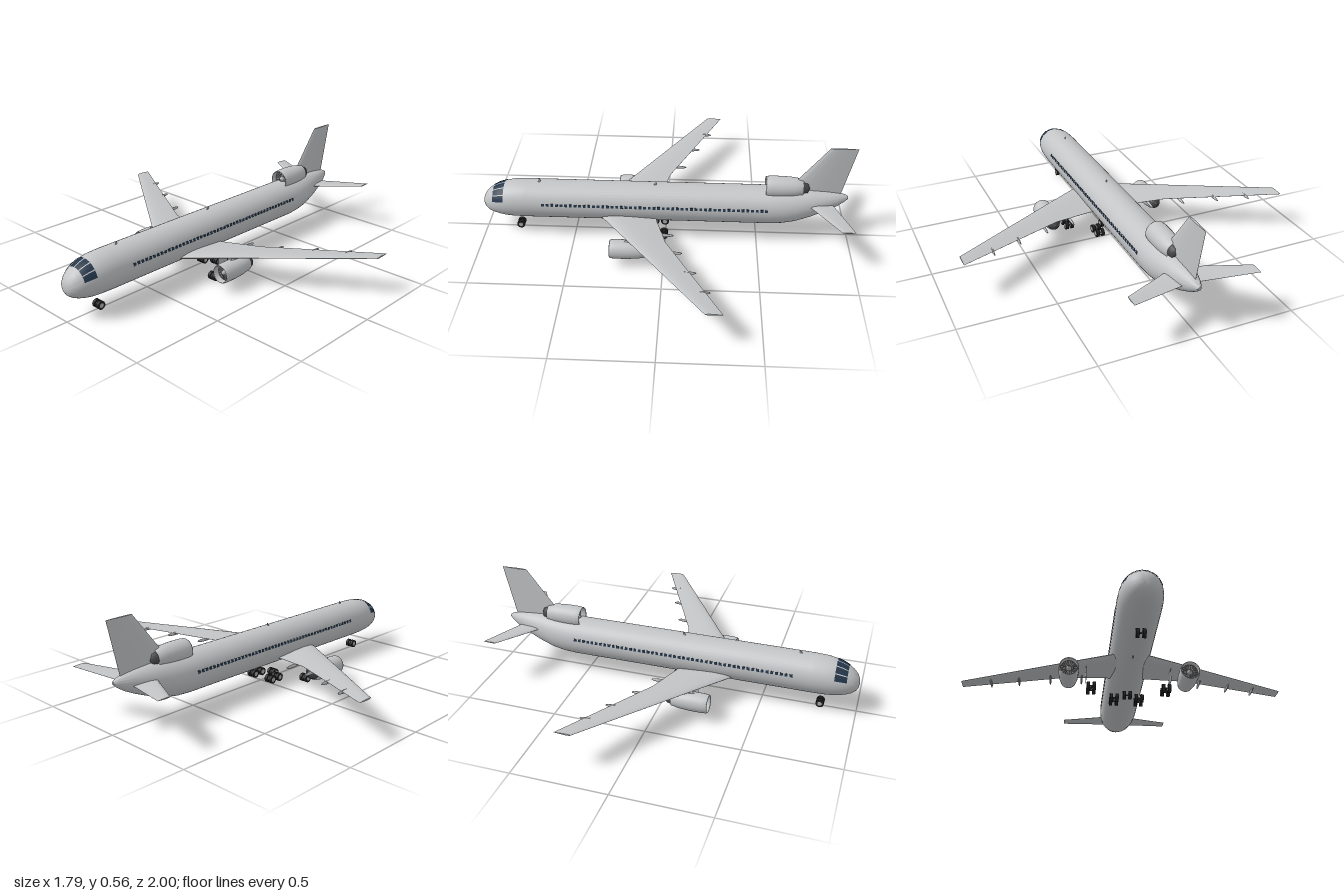
import * as THREE from 'three';
import { toCreasedNormals } from 'three/addons/utils/BufferGeometryUtils.js';

const mat = (name, color, side = THREE.FrontSide) => {
  const m = new THREE.MeshStandardMaterial({ color, side });
  m.name = name;
  return m;
};
const V = (x, y, z) => new THREE.Vector3(x, y, z);

// Skin closed rings of equal point count, cap both ends, face outward
function loft(rings, crease) {
  const n = rings[0].length, pos = [], tri = [];
  rings.forEach(r => r.forEach(p => pos.push(p.x, p.y, p.z)));
  for (let i = 0; i < rings.length - 1; i++) {
    for (let j = 0; j < n; j++) {
      const a = i * n + j, b = i * n + (j + 1) % n;
      tri.push([a, b, a + n], [b, b + n, a + n]);
    }
  }
  const last = (rings.length - 1) * n;
  for (let j = 1; j < n - 1; j++) tri.push([0, j + 1, j], [last, last + j, last + j + 1]);
  const at = i => V(pos[3 * i], pos[3 * i + 1], pos[3 * i + 2]);
  const volume = tri.reduce((s, [a, b, c]) => s + at(a).dot(at(b).cross(at(c))), 0);
  if (volume < 0) tri.forEach(t => t.reverse());
  const g = new THREE.BufferGeometry();
  g.setAttribute('position', new THREE.Float32BufferAttribute(pos, 3));
  g.setIndex(tri.flat());
  g.computeVertexNormals();
  return toCreasedNormals(g, crease);
}

// Airfoil outline: [distance along chord, half thickness factor]
const half = [[0.03, 0.4], [0.12, 0.8], [0.3, 1], [0.55, 0.8], [0.8, 0.4]];
const foil = [[0, 0], ...half, [1, 0.04], [1, -0.04], ...half.map(([c, t]) => [c, -t]).reverse()];

// Fuselage stations: z, bottom, top, half width
const stations = [
  [1, 0.168, 0.182, 0.008], [0.995, 0.148, 0.204, 0.028], [0.985, 0.133, 0.222, 0.045],
  [0.965, 0.118, 0.244, 0.063], [0.94, 0.108, 0.262, 0.077], [0.91, 0.1, 0.277, 0.088],
  [0.875, 0.094, 0.288, 0.096], [0.83, 0.091, 0.297, 0.102], [0.76, 0.09, 0.3, 0.105],
  [-0.56, 0.09, 0.3, 0.105], [-0.63, 0.094, 0.3, 0.102], [-0.7, 0.106, 0.3, 0.094],
  [-0.78, 0.133, 0.298, 0.078], [-0.86, 0.167, 0.29, 0.057], [-0.92, 0.197, 0.28, 0.037],
  [-0.96, 0.225, 0.27, 0.02], [-0.98, 0.243, 0.26, 0.007],
];
// Point on the hull; angle 0 is the top
function hull(z, angle, lift = 0) {
  let i = 0;
  while (i < stations.length - 2 && stations[i + 1][0] > z) i++;
  const a = stations[i], b = stations[i + 1], t = (a[0] - z) / (a[0] - b[0]);
  const [lo, hi, w] = [1, 2, 3].map(k => a[k] + (b[k] - a[k]) * t);
  return V(Math.sin(angle) * (w + lift), (lo + hi) / 2 + Math.cos(angle) * ((hi - lo) / 2 + lift), z);
}

// Wing stations: x, leading z, trailing z, height, half thickness
const wingStations = [
  [0, 0.4, 0.06, 0.125, 0.02], [0.105, 0.33, 0.045, 0.138, 0.018],
  [0.32, 0.18, -0.015, 0.158, 0.011], [0.893, -0.22, -0.305, 0.207, 0.004],
];
const tailStations = [[0, -0.735, -0.885, 0.222, 0.009], [0.32, -0.91, -0.98, 0.254, 0.003]];
function span(list) {
  const all = [...list.slice(1).reverse().map(s => [-s[0], ...s.slice(1)]), ...list];
  return loft(all.map(([x, le, te, y, t]) => foil.map(([c, k]) => V(x, y + k * t, le + (te - le) * c))), 0.6);
}

export function createModel() {
  const root = new THREE.Group();
  root.name = 'airliner';
  const paint = mat('hull grey', 0xc2c4c6);
  const doorPaint = mat('door grey', 0xb4b6b8, THREE.DoubleSide);
  const glass = mat('window blue', 0x24364a, THREE.DoubleSide);
  const dark = mat('dark metal', 0x4a4a4c);
  const rubber = mat('tyre black', 0x222224);
  const hubPaint = mat('hub silver', 0xb0b0b0);
  const add = (name, geo, m, x = 0, y = 0, z = 0, parent = root) => {
    const mesh = new THREE.Mesh(geo, m);
    mesh.name = name;
    mesh.position.set(x, y, z);
    parent.add(mesh);
    return mesh;
  };

  // Fuselage
  const rings = stations.map(([z]) => Array.from({ length: 40 }, (_, j) => hull(z, j / 40 * Math.PI * 2)));
  add('fuselage', loft(rings, 0.9), paint);

  // Wings, tailplane and fin
  add('wings', span(wingStations), paint);
  add('tailplane', span(tailStations), paint);
  const finStations = [[0.265, -0.63, -0.937, 0.013], [0.555, -0.855, -1, 0.006]];
  add('fin', loft(finStations.map(([y, le, te, t]) =>
    foil.map(([c, k]) => V(k * t, y, le + (te - le) * c))), 0.6), paint);

  // Flap track fairings under the trailing edge
  for (const s of [-1, 1]) {
    for (const [x, y, tip] of [[0.235, 0.14, -0.055], [0.4, 0.156, -0.105], [0.57, 0.173, -0.18], [0.725, 0.187, -0.25]]) {
      add('flapFairing', new THREE.SphereGeometry(1, 10, 8), paint, s * x, y, tip + 0.06).scale.set(0.006, 0.01, 0.06);
    }
  }

  // Engines: the front lip is at local z = 0
  function engine(name, x, y, z, r, len) {
    const g = new THREE.Group();
    g.name = name;
    g.position.set(x, y, z);
    root.add(g);
    const lathe = (part, pts, m) => {
      const geo = new THREE.LatheGeometry(pts.map(p => new THREE.Vector2(...p)), 28);
      add(part, geo.rotateX(Math.PI / 2), m, 0, 0, 0, g);
    };
    lathe('nacelle', [[r * 0.6, -len], [r * 0.78, -len], [r * 0.93, -len * 0.75], [r, -len * 0.45],
      [r, -len * 0.15], [r * 0.96, -0.006], [r * 0.9, 0], [r * 0.85, -0.006], [r * 0.83, -0.035]], paint);
    lathe('fan', [[r * 0.84, -0.033], [0.001, -0.033]], dark);
    lathe('spinner', [[r * 0.28, -0.033], [r * 0.2, -0.02], [0, -0.008]], hubPaint);
    lathe('exhaust', [[0, -len - 0.045], [r * 0.3, -len - 0.03], [r * 0.55, -len - 0.025],
      [r * 0.66, -len + 0.005]], dark);
    // Fan blades
    for (let i = 0; i < 18; i++) {
      const blade = new THREE.BoxGeometry(r * 0.045, r * 0.52, 0.003).translate(0, r * 0.54, -0.032);
      add('fanBlade', blade, hubPaint, 0, 0, 0, g).rotation.z = i / 18 * Math.PI * 2;
    }
  }
  for (const s of [-1, 1]) {
    engine('wingEngine', s * 0.305, 0.096, 0.28, 0.051, 0.195);
    const pylon = [[0.125, 0.24, 0.06], [0.155, 0.19, 0.01]].map(([y, le, te]) =>
      foil.map(([c, k]) => V(s * 0.305 + k * 0.007, y, le + (te - le) * c)));
    add('pylon', loft(pylon, 0.6), paint);
  }
  engine('tailEngine', 0, 0.31, -0.535, 0.058, 0.2);

  // Cabin windows
  const tilt = 0.21;
  for (const s of [-1, 1]) {
    for (let i = 0; i < 49; i++) {
      const p = hull(0, s * (Math.PI / 2 - tilt), 0.0005);
      const w = add('cabinWindow', new THREE.BoxGeometry(0.002, 0.015, 0.015), glass, p.x, p.y, 0.658 - i * 0.025);
      w.rotation.z = s * tilt;
    }
  }

  // Cockpit windows: patches that follow the nose
  for (const s of [-1, 1]) {
    for (const [a0, a1] of [[0.03, 0.4], [0.46, 0.84], [0.9, 1.27]]) {
      const patch = new THREE.PlaneGeometry(1, 1, 5, 4), p = patch.attributes.position;
      for (let i = 0; i < p.count; i++) {
        const a = a0 + (a1 - a0) * (p.getX(i) + 0.5);
        const q = hull(0.876 + 0.062 * (p.getY(i) + 0.5), s * a, 0.0022);
        p.setXYZ(i, q.x, q.y, q.z);
      }
      if (s > 0) patch.setIndex([...patch.index.array].reverse());
      patch.computeVertexNormals();
      add('cockpitWindow', patch, glass);
    }
  }

  // Landing gear: wheel pairs at x, z
  function wheelPair(name, x, z) {
    const g = new THREE.Group();
    g.name = name;
    g.position.set(x, 0.022, z);
    root.add(g);
    const roll = (part, r, w, m, dx) =>
      add(part, new THREE.CylinderGeometry(r, r, w, 20).rotateZ(Math.PI / 2), m, dx, 0, 0, g);
    for (const d of [-0.015, 0.015]) {
      roll('tyre', 0.022, 0.016, rubber, d);
      roll('hub', 0.012, 0.0175, hubPaint, d);
    }
    roll('axle', 0.004, 0.03, dark, 0);
  }
  wheelPair('noseGear', 0, 0.81);
  wheelPair('centreGear', 0, 0.097);
  for (const s of [-1, 1]) {
    for (const [name, x, z] of [['wingGear', 0.19, 0.178], ['bodyGear', 0.065, 0.033]]) {
      for (const d of [-0.027, 0.027]) wheelPair(name, s * x, z + d);
      add('bogieBeam', new THREE.BoxGeometry(0.008, 0.008, 0.054), dark, s * x, 0.022, z);
    }
    add('gearDoor', new THREE.BoxGeometry(0.002, 0.07, 0.07), doorPaint, s * 0.216, 0.1, 0.165);
  }

  // Blade antennas
  for (const [y, z, up] of [[0.305, 0.685, 1], [0.305, 0.055, 1], [0.083, 0.43, -1]]) {
    const blade = add('antenna', new THREE.CylinderGeometry(0.003, 0.007, 0.02, 8), paint, 0, y, z);
    blade.scale.set(0.4, up > 0 ? 1 : 0.9, 1);
    blade.rotation.x = up > 0 ? -0.4 : Math.PI + 0.4;
  }
  return root;
}
